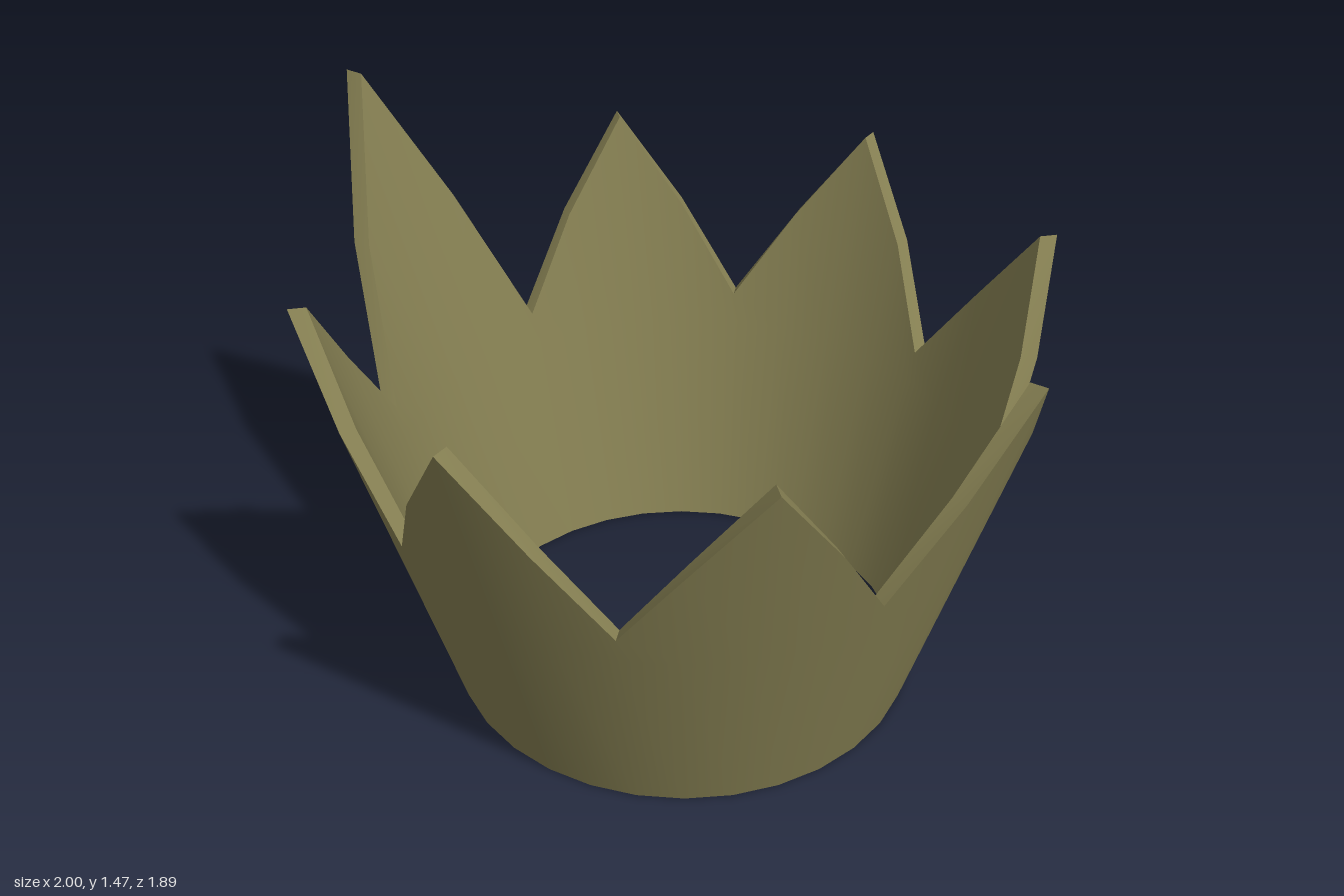
import * as THREE from 'three';
import { toCreasedNormals } from 'three/addons/utils/BufferGeometryUtils.js';

const SEGMENTS = 32;      // four columns per spike: peak, flank, valley, flank
const TALL = 16;          // column of the one tall spike
const BASE_RADIUS = 0.635, FLARE = 0.29, INNER = 0.953;
const VALLEY_Y = 0.68, PEAK_Y = 1.19, TALL_Y = 1.47;

const radiusAt = (y) => BASE_RADIUS + FLARE * y;

// Outer rim radius and height [r, y] of a column
function rim(i) {
  i = (i + SEGMENTS) % SEGMENTS;
  if (i === TALL) return [1.087, TALL_Y];
  if (i % 4 === 0) return [radiusAt(PEAK_Y), PEAK_Y];
  if (i % 4 === 2) return [radiusAt(VALLEY_Y), VALLEY_Y];
  const a = rim(i - 1), b = rim(i + 1);
  return [(a[0] + b[0]) / 2, (a[1] + b[1]) / 2];
}

// Closed wall section of a column: up the outside, over the rim, down the inside
function section(i) {
  const angle = THREE.MathUtils.degToRad(15) + (i / SEGMENTS) * Math.PI * 2;
  const outer = [[BASE_RADIUS, 0], [radiusAt(0.6), 0.6], rim(i)];
  const inner = outer.map(([r, y]) => [r * INNER, y]).reverse();
  return [...outer, ...inner].map(([r, y]) => [r * Math.cos(angle), y, r * Math.sin(angle)]);
}

function crownGeometry() {
  const positions = [];
  for (let i = 0; i < SEGMENTS; i++) {
    const a = section(i), b = section((i + 1) % SEGMENTS);
    for (let j = 0; j < a.length; j++) {
      const k = (j + 1) % a.length;
      positions.push(...a[j], ...a[k], ...b[k], ...a[j], ...b[k], ...b[j]);
    }
  }
  const geometry = new THREE.BufferGeometry();
  geometry.setAttribute('position', new THREE.Float32BufferAttribute(positions, 3));
  return toCreasedNormals(geometry, Math.PI / 6);
}

export function createModel() {
  const group = new THREE.Group();
  group.name = 'crown';
  const band = new THREE.Mesh(
    crownGeometry(),
    new THREE.MeshStandardMaterial({ color: 0x857f52 })
  );
  band.name = 'spikedBand';
  band.position.x = 0.05; // the tall spike reaches further to one side
  group.add(band);
  return group;
}
